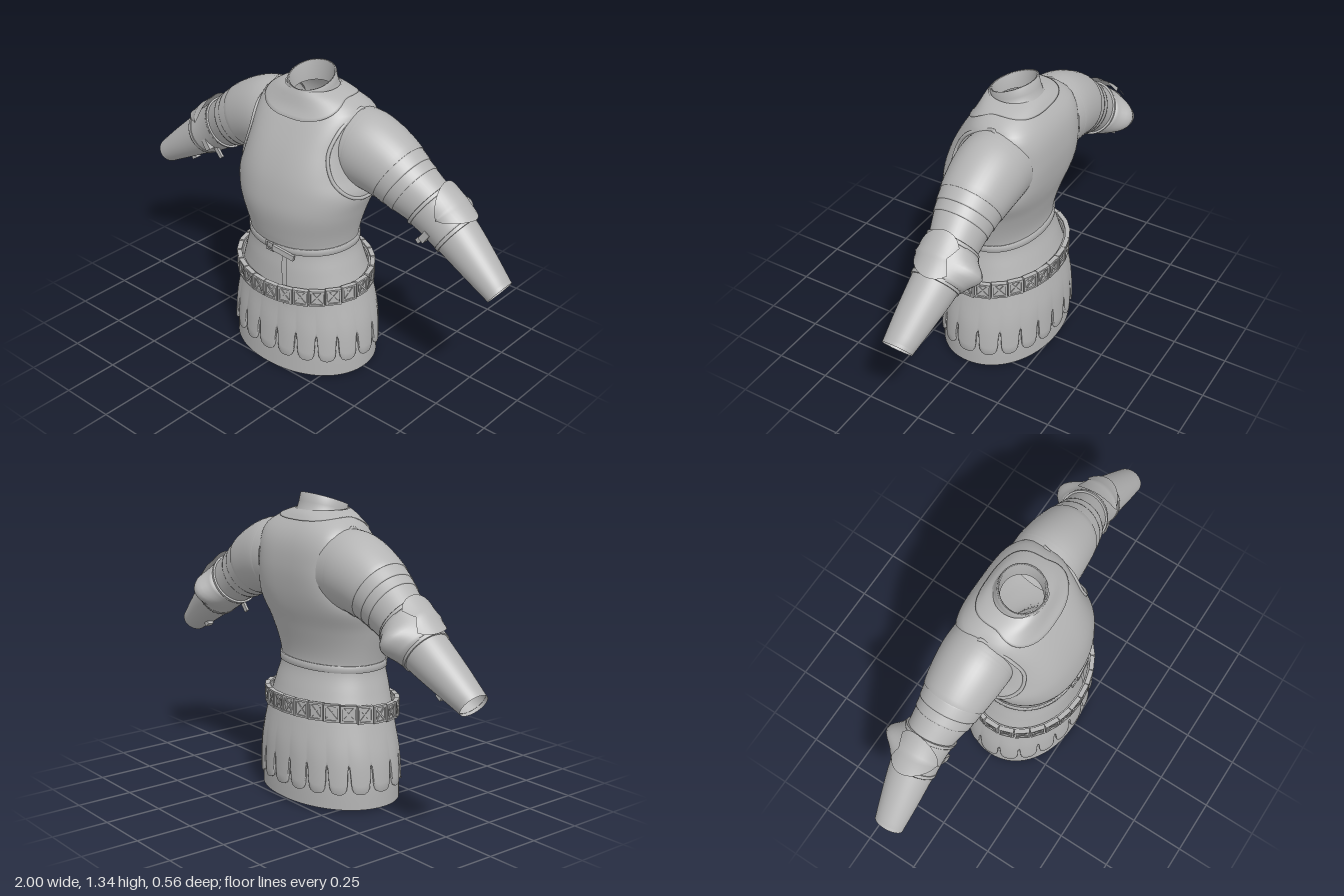
import * as THREE from 'three';
import { mergeGeometries } from 'three/addons/utils/BufferGeometryUtils.js';

const steel = new THREE.MeshStandardMaterial({ color: 0xb4b4b4, side: THREE.DoubleSide });
steel.name = 'plain steel';

const V = (x, y, z) => new THREE.Vector3(x, y, z);
const lerp = THREE.MathUtils.lerp;
const spow = (v, p) => Math.sign(v) * Math.pow(Math.abs(v), p);
const TAU = Math.PI * 2;

function mesh(name, geometry, parent) {
  const m = new THREE.Mesh(geometry, steel);
  m.name = name;
  parent.add(m);
  return m;
}

// Grid surface from fn(u, v); u wraps round when closed
function surface(fn, nu, nv, closed = true) {
  const cols = closed ? nu : nu + 1, pos = [], idx = [];
  for (let j = 0; j <= nv; j++)
    for (let i = 0; i < cols; i++) pos.push(...fn(i / nu, j / nv, i, j).toArray());
  for (let j = 0; j < nv; j++)
    for (let i = 0; i < nu; i++) {
      const a = j * cols + i, b = j * cols + (i + 1) % cols, c = a + cols, d = b + cols;
      idx.push(a, c, b, b, c, d);
    }
  const g = new THREE.BufferGeometry();
  g.setAttribute('position', new THREE.Float32BufferAttribute(pos, 3));
  g.setIndex(idx);
  g.computeVertexNormals();
  return g;
}

// Smooth interpolation of rows keyed by their first number
function profile(rows) {
  const k = rows[0].length - 1;
  const c = new THREE.CubicInterpolant(rows.map(r => r[0]), rows.flatMap(r => r.slice(1)), k);
  return t => Array.from(c.evaluate(t));
}

// Body sections: y, half width, front z, back z, widest z, squareness
const body = profile([
  [0, .35, .26, -.265, 0, 2.1], [.1, .35, .256, -.267, 0, 2.1], [.2, .343, .25, -.265, 0, 2.1],
  [.3, .33, .243, -.262, 0, 2.1], [.4, .31, .238, -.245, 0, 2.1], [.5, .28, .232, -.215, 0, 2.1],
  [.6, .255, .224, -.185, 0, 2.1], [.65, .262, .235, -.185, 0, 2.1], [.78, .295, .256, -.215, 0, 2.2],
  [.87, .315, .248, -.242, -.04, 2.3], [.95, .285, .228, -.256, -.06, 2.6], [1.05, .26, .185, -.26, -.07, 2.8],
  [1.15, .256, .125, -.243, -.08, 2.8], [1.2, .246, .09, -.217, -.08, 2.6], [1.235, .205, .075, -.187, -.07, 2.3],
  [1.26, .15, .065, -.165, -.05, 2.2], [1.272, .115, .058, -.148, -.045, 2.1],
]);
// The back is squarer than the front
const squareness = (n, side) => side > 0 ? n : 2 * n - 2.1;
function bodyPoint(y, a, off = 0) {
  const [hx, zf, zb, zc, n] = body(y), c = Math.cos(a), s = Math.sin(a);
  const depth = s > 0 ? zf - zc : zc - zb, p = 2 / squareness(n, s);
  return V(spow(c, p) * (hx + off), y, zc + spow(s, p) * (depth + off));
}
// Point on the body at a given x and y, on the front (1) or back (-1)
function bodyAt(x, y, side, off = 0) {
  const [hx, , , , n] = body(y);
  const a = Math.acos(Math.pow(Math.min(1, Math.abs(x) / hx), squareness(n, side) / 2));
  const p = bodyPoint(y, side * a, off);
  if (x < 0) p.x *= -1;
  return p;
}

// Arm sections keyed by x: centre y, centre z, radius across, radius in z
const arm = profile([
  [.2, 1.042, -.085, .168, .155], [.27, 1.037, -.085, .17, .157], [.385, 1.0, -.087, .152, .144],
  [.5, .935, -.09, .129, .121], [.6, .873, -.103, .112, .103], [.66, .832, -.108, .105, .099],
  [.75, .772, -.104, .094, .093], [.86, .697, -.093, .077, .081], [.967, .622, -.082, .058, .066],
]);
function armPoint(s, a, off = 0) {
  const [cy, cz, rn, rz] = arm(s);
  const m = THREE.MathUtils.clamp(s, .21, .957);
  const slope = (arm(m + .01)[0] - arm(m - .01)[0]) / .02, len = Math.hypot(1, slope);
  const r = Math.cos(a) * (rn + off);
  return V(s - slope / len * r, cy + r / len, cz - Math.sin(a) * (rz + off));
}
// Plate wrapped round the arm with a small step at its ends
const armShell = (s0, s1, o0, o1, bump = () => 0) => surface((u, v, i, j) => {
  const t = THREE.MathUtils.clamp((j - 1) / 10, 0, 1), s = lerp(s0, s1, t), a = u * TAU;
  return armPoint(s, a, j === 0 || j === 12 ? -.002 : lerp(o0, o1, t) + bump(s, a));
}, 48, 12);

function buildArm() {
  const g = new THREE.Group();
  mesh('sleeve', surface((u, v) => armPoint(lerp(.2, .967, v), u * TAU), 48, 40), g);
  mesh('shoulderCap', armShell(.25, .43, 0, .003), g);
  mesh('upperLame', armShell(.43, .475, 0, .003), g);
  mesh('lowerLame', armShell(.475, .515, 0, .003), g);
  mesh('forearmPlate', armShell(.7, .955, .004, 0), g);
  // Elbow cup, pointed towards the back
  mesh('elbowCup', armShell(.595, .72, .006, .007, (s, a) =>
    .064 * Math.exp(-(((s - .66) / .045) ** 2)) * Math.exp(-(((a - Math.PI / 2) / .6) ** 2))), g);
  mesh('elbowBandUpper', armShell(.585, .598, .009, .009), g);
  mesh('elbowBandLower', armShell(.716, .73, .009, .009), g);
  // Leaf shaped wing over the elbow, narrowing to a point in front
  mesh('elbowWing', surface((u, v, i, j) => {
    const t = j / 12, w = .08 * Math.pow(Math.sin(Math.PI * lerp(.16, 1, Math.pow(t, .8))), .7);
    const k = u * 2 - 1, notch = .25 * (1 - Math.abs(k)) * (1 - t);
    const a = lerp(.7, -1.1, t) - notch;
    return armPoint(.658 + k * w, a, .018 + .012 * (1 - Math.abs(k)) + .006 * k * k);
  }, 12, 12, false), g);
  // Straps and buckles under the arm
  for (const [s, a, w, h] of [[.665, -2.1, .03, .055], [.86, 3.0, .03, .022]]) {
    const b = mesh('armBuckle', new THREE.BoxGeometry(w, h, .03), g);
    b.position.copy(armPoint(s, a, .005));
    b.rotation.z = -.6;
  }
  const tail = mesh('armStrapEnd', new THREE.BoxGeometry(.022, .07, .012), g);
  tail.position.copy(armPoint(.655, -2.6, .018));
  tail.rotation.z = -.7;
  // Rolled edge of the body plate round the arm
  const rim = [[.24, 1.213, 1], [.228, 1.15, 1], [.218, 1.05, 1], [.25, .95, 1], [.29, .89, 1], [.312, .855, 1],
    [.308, .855, -1], [.285, .9, -1], [.265, .96, -1], [.248, 1.06, -1], [.246, 1.15, -1], [.238, 1.21, -1]]
    .map(([x, y, s]) => bodyAt(x, y, s, .001));
  mesh('armholeRim', new THREE.TubeGeometry(new THREE.CatmullRomCurve3(rim, true), 80, .008, 8, true), g);
  return g;
}

// Studded belt of square plates, each with a frame and a cross
function buildBelt() {
  const g = new THREE.Group(), count = 26;
  g.name = 'studdedBelt';
  const box = (w, h, d, x, y, z, r = 0) => new THREE.BoxGeometry(w, h, d).rotateZ(r).translate(x, y, z);
  const parts = [box(.068, .076, .014, 0, 0, 0)];
  for (const s of [-1, 1]) {
    parts.push(box(.008, .076, .01, s * .03, 0, .009), box(.068, .008, .01, 0, s * .034, .009));
    parts.push(box(.007, .08, .007, 0, 0, .008, s * .7));
  }
  const plate = mergeGeometries(parts);
  const level = z => .421 - .08 * z;
  const pts = new THREE.EllipseCurve(0, .006, .32, .257).getSpacedPoints(count);
  for (let i = 0; i < count; i++) {
    const { x, y: z } = pts[i], m = mesh('beltPlate', plate, g);
    m.position.set(x, level(z), z);
    m.rotation.y = Math.atan2(x / .32 ** 2, (z - .006) / .257 ** 2);
  }
  mesh('beltStrap', surface((u, v, i, j) => {
    const r = [-.012, 0, 0, -.012][j], z = .006 + (.255 + r) * Math.sin(u * TAU);
    return V((.318 + r) * Math.cos(u * TAU), level(z) + [-.03, -.03, .03, .03][j], z);
  }, 64, 3), g);
  return g;
}

export function createModel() {
  const model = new THREE.Group();
  model.name = 'plateArmour';

  // Hollow body, its lower edge slightly raised at the back
  mesh('bodyPlate', surface((u, v) =>
    bodyPoint(lerp(.0075 * (1 - Math.sin(u * TAU)), 1.272, v), u * TAU), 80, 70), model);
  mesh('waistStrap', surface((u, v, i, j) => {
    const lift = -.006 * Math.sin(u * TAU);
    return bodyPoint([.59, .59, .605, .62, .62][j] + lift, u * TAU, [0, .006, .007, .006, 0][j]);
  }, 72, 4), model);

  // Skirt edge cut into evenly spaced rounded tabs
  const steps = [-.5, -.47, -.44, -.42, -.38, -.3, -.15, 0, .15, .3, .38, .42, .44, .47];
  const edge = { 0: .083, .15: .084, .3: .092, .38: .108, .42: .135, .44: .175, .47: .2, .5: .206 };
  const girth = new THREE.EllipseCurve(0, 0, .355, .265), n = steps.length;
  mesh('scallopedSkirt', surface((u, v, i, j) => {
    const t = steps[i % n], turn = (Math.floor(i / n) + 5 + t) / 20;
    const a = girth.getUtoTmapping(turn % 1) * TAU;
    const y = lerp(.37, edge[Math.abs(t)], Math.min(j, 8) / 8);
    const puff = THREE.MathUtils.smoothstep(.37 - y, 0, .17);
    return bodyPoint(y, a, j === 9 ? 0 : puff * (.006 + .004 * Math.cos(Math.PI * t)) + .001);
  }, 20 * n, 9), model);

  // Neck plate lying on the shoulders, dipping in front
  mesh('neckPlate', surface((u, v, i, j) => {
    const a = u * TAU, s = Math.sin(a), low = lerp(1.25, s > 0 ? 1.165 : 1.232, s * s);
    return bodyPoint(lerp(low, 1.272, Math.max(0, j - 1) / 8), a, j === 0 ? 0 : .007);
  }, 64, 9), model);
  // Standing collar with a flat slanted top: half width, front z and y, back z and y
  const neck = [
    [.13, .078, 1.215, -.165, 1.262], [.114, .068, 1.23, -.152, 1.275], [.107, .063, 1.25, -.143, 1.305],
    [.107, .064, 1.274, -.133, 1.343], [.097, .054, 1.272, -.124, 1.34], [.092, .047, 1.21, -.125, 1.25],
  ];
  mesh('collar', surface((u, v, i, j) => {
    const [rx, zf, yf, zb, yb] = neck[j], s = Math.sin(u * TAU);
    return V(rx * Math.cos(u * TAU), lerp(yb, yf, (s + 1) / 2), lerp(zb, zf, (s + 1) / 2));
  }, 64, 5), model);

  // Both arms
  for (const s of [1, -1]) {
    const a = buildArm();
    a.name = s > 0 ? 'leftArm' : 'rightArm';
    a.scale.x = s;
    model.add(a);
  }

  model.add(buildBelt());

  // Waist buckle with its hanging strap end
  const buckle = mesh('waistBuckle', new THREE.TorusGeometry(.026, .005, 6, 4).rotateZ(Math.PI / 4), model);
  buckle.position.copy(bodyAt(.0, .598, 1, .012));
  const loop = mesh('strapLoop', new THREE.BoxGeometry(.11, .026, .012), model);
  loop.position.copy(bodyAt(.07, .588, 1, .014));
  loop.rotation.set(0, .15, -.2);
  mesh('strapEnd', surface((u, v) =>
    bodyAt(lerp(.07, .09, v) + (u - .5) * .024, lerp(.585, .325, v), 1, .007), 2, 14, false), model);
  return model;
}
